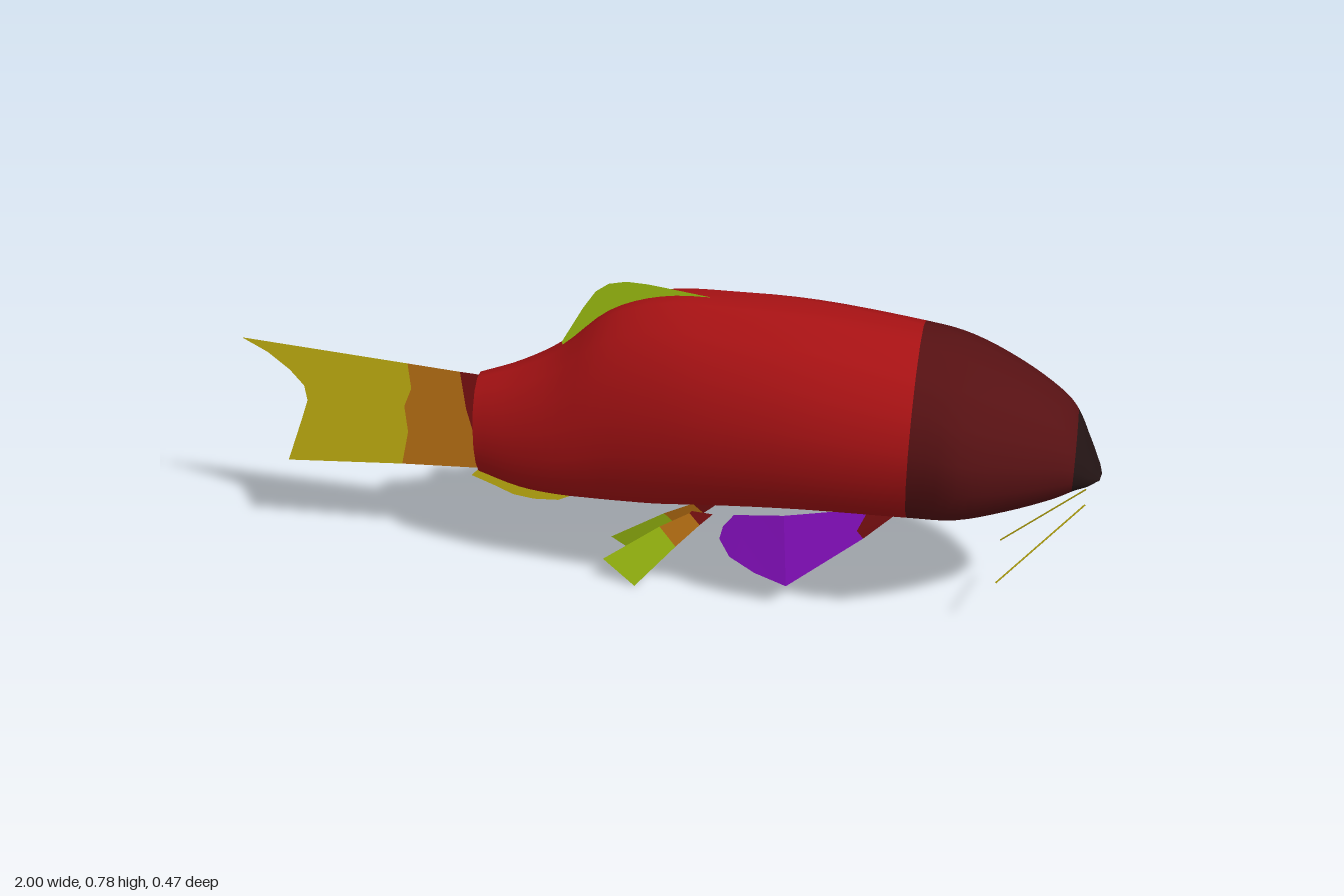
import * as THREE from 'three';

const mat = (name, color, side = THREE.FrontSide) => {
  const m = new THREE.MeshStandardMaterial({ color, side });
  m.name = name;
  return m;
};

const SIDES = 16;
// body stations: x, top y, bottom y, half width
const STATIONS = [
  [-0.43, 0.505, 0.25, 0.075], [-0.33, 0.545, 0.222, 0.1], [-0.23, 0.605, 0.215, 0.125],
  [-0.12, 0.705, 0.217, 0.148], [0, 0.752, 0.225, 0.172], [0.14, 0.76, 0.247, 0.195],
  [0.34, 0.75, 0.27, 0.215], [0.58, 0.715, 0.285, 0.226], [0.69, 0.685, 0.298, 0.234],
  [0.8, 0.638, 0.327, 0.195], [0.89, 0.585, 0.357, 0.148], [0.935, 0.54, 0.378, 0.118],
  [0.97, 0.468, 0.393, 0.08], [0.995, 0.412, 0.403, 0.035],
];
const HEAD = 7, NOSE = 11, STEPS = 4;

// smooth loft through the stations, with one material group per colour zone
function bodyGeometry() {
  const smooth = (pts) => new THREE.CatmullRomCurve3(pts, false, 'catmullrom', 0.5);
  const profile = smooth(STATIONS.map(([x, t, b]) => new THREE.Vector3(x, t, b)));
  const width = smooth(STATIONS.map(([x, , , w]) => new THREE.Vector3(x, w, 0)));
  const rings = (STATIONS.length - 1) * STEPS;
  const pos = [], idx = [];
  const k = 1 / Math.cos(Math.PI / SIDES);
  for (let i = 0; i <= rings; i++) {
    const p = profile.getPoint(i / rings), w = width.getPoint(i / rings).y;
    const cy = (p.y + p.z) / 2, ry = (p.y - p.z) / 2;
    for (let j = 0; j < SIDES; j++) {
      const a = ((j + 0.5) / SIDES) * Math.PI * 2;
      pos.push(p.x, cy + Math.cos(a) * ry * k, Math.sin(a) * w * k);
    }
  }
  for (let i = 0; i < rings; i++) {
    for (let j = 0; j < SIDES; j++) {
      const a = i * SIDES + j, b = i * SIDES + (j + 1) % SIDES;
      idx.push(a, b, a + SIDES, b, b + SIDES, a + SIDES);
    }
  }
  // snout tip
  const tip = pos.length / 3, last = rings * SIDES;
  pos.push(1, 0.405, 0);
  for (let j = 0; j < SIDES; j++) idx.push(tip, last + j, last + (j + 1) % SIDES);

  const geo = new THREE.BufferGeometry();
  geo.setAttribute('position', new THREE.Float32BufferAttribute(pos, 3));
  geo.setIndex(idx);
  const perStation = STEPS * SIDES * 6;
  geo.addGroup(0, HEAD * perStation, 0);
  geo.addGroup(HEAD * perStation, (NOSE - HEAD) * perStation, 1);
  geo.addGroup(NOSE * perStation, idx.length - NOSE * perStation, 2);
  geo.computeVertexNormals();
  return geo;
}

// flat fin panel from an outline; depth(x, y) gives z
function panel(name, points, material, depth = () => 0) {
  const geo = new THREE.ShapeGeometry(new THREE.Shape(points.map(([x, y]) => new THREE.Vector2(x, y))));
  const p = geo.attributes.position;
  for (let i = 0; i < p.count; i++) p.setZ(i, depth(p.getX(i), p.getY(i)));
  geo.computeVertexNormals();
  const mesh = new THREE.Mesh(geo, material);
  mesh.name = name;
  return mesh;
}

export function createModel() {
  const D = THREE.DoubleSide;
  const red = mat('body red', 0xa81214);
  const darkRed = mat('head dark red', 0x561113);
  const black = mat('snout black', 0x231414);
  const maroon = mat('fin root maroon', 0x7c1012, D);
  const orange = mat('fin orange', 0xbd7314, D);
  const yellow = mat('fin yellow', 0xc6b412, D);
  const green = mat('fin green', 0xa0c212, D);
  const purple = mat('fin purple', 0x8b10c6, D);

  const fish = new THREE.Group();
  fish.name = 'fish';

  const body = new THREE.Mesh(bodyGeometry(), [red, darkRed, black]);
  body.name = 'body';
  fish.add(body);

  // flat end of the body behind the tail root
  const end = new THREE.Mesh(new THREE.CircleGeometry(1, SIDES, Math.PI / SIDES), red);
  end.name = 'bodyEnd';
  end.rotation.y = -Math.PI / 2;
  end.scale.set(0.0765, 0.13, 1);
  end.position.set(-0.43, 0.3775, 0);
  fish.add(end);

  // tail fin in three colour bands
  const tail = new THREE.Group();
  tail.name = 'tailFin';
  tail.add(
    panel('tailRoot', [[-0.42, 0.505], [-0.475, 0.508], [-0.465, 0.41], [-0.44, 0.3], [-0.43, 0.25], [-0.42, 0.25]], maroon),
    panel('tailMiddle', [[-0.475, 0.508], [-0.6, 0.517], [-0.595, 0.45], [-0.615, 0.4], [-0.61, 0.33], [-0.63, 0.239],
      [-0.43, 0.25], [-0.44, 0.3], [-0.465, 0.41]], orange),
    panel('tailTip', [[-0.6, 0.517], [-1, 0.545], [-0.94, 0.512], [-0.89, 0.47], [-0.858, 0.43], [-0.853, 0.39],
      [-0.872, 0.335], [-0.915, 0.217], [-0.63, 0.239], [-0.61, 0.33], [-0.615, 0.4], [-0.595, 0.45]], yellow));
  fish.add(tail);

  // dorsal fin
  fish.add(panel('dorsalFin', [[-0.23, 0.59], [-0.23, 0.615], [-0.18, 0.705], [-0.15, 0.75], [-0.12, 0.772], [-0.08, 0.781],
    [-0.03, 0.779], [0.04, 0.77], [0.13, 0.758], [0.1, 0.73], [-0.1, 0.66]], green));

  // anal fin
  fish.add(
    panel('analFinRoot', [[-0.43, 0.253], [-0.445, 0.243], [-0.3, 0.213], [-0.22, 0.209], [-0.22, 0.25]], orange),
    panel('analFin', [[-0.445, 0.243], [-0.46, 0.227], [-0.4, 0.203], [-0.36, 0.185], [-0.31, 0.178], [-0.25, 0.182],
      [-0.19, 0.212], [-0.19, 0.23], [-0.22, 0.209], [-0.3, 0.213]], yellow));

  // pelvic fins and barbels, mirrored
  for (const s of [1, -1]) {
    const side = s > 0 ? 'Front' : 'Back';
    const splay = (x, y) => s * (0.02 + (0.2 - y) * 0.2);
    const pelvic = new THREE.Group();
    pelvic.name = 'pelvicFin' + side;
    pelvic.add(
      panel('pelvicRoot', [[0.075, 0.203], [0.125, 0.2], [0.095, 0.17], [0.07, 0.197]], maroon, splay),
      panel('pelvicMiddle', [[0.07, 0.197], [0, 0.156], [0.04, 0.11], [0.095, 0.17]], orange, splay),
      panel('pelvicTip', [[0, 0.156], [-0.133, 0.06], [-0.055, 0], [0.04, 0.11]], green, splay));
    fish.add(pelvic);

    const whisker = new THREE.LineCurve3(new THREE.Vector3(0.97, 0.338, s * 0.032), new THREE.Vector3(0.79, 0.14, s * 0.088));
    const barbel = new THREE.Mesh(new THREE.TubeGeometry(whisker, 1, 0.002, 4), yellow);
    barbel.name = 'barbel' + side;
    fish.add(barbel);
  }

  // single pectoral fin, swept outward toward its rear
  const sweep = (x) => 0.04 + 0.048 * THREE.MathUtils.clamp((0.5 - x) / 0.2, 0, 1);
  const pectoral = new THREE.Group();
  pectoral.name = 'pectoralFin';
  pectoral.add(
    panel('pectoralRoot', [[0.49, 0.275], [0.548, 0.262], [0.48, 0.193], [0.465, 0.215]], maroon, sweep),
    panel('pectoralInner', [[0.49, 0.275], [0.465, 0.215], [0.48, 0.193], [0.31, 0.065], [0.3, 0.262]], purple, sweep),
    panel('pectoralOuter', [[0.3, 0.262], [0.31, 0.065], [0.235, 0.095], [0.176, 0.133], [0.152, 0.18], [0.16, 0.215],
      [0.185, 0.25]], purple, sweep));
  fish.add(pectoral);

  return fish;
}
